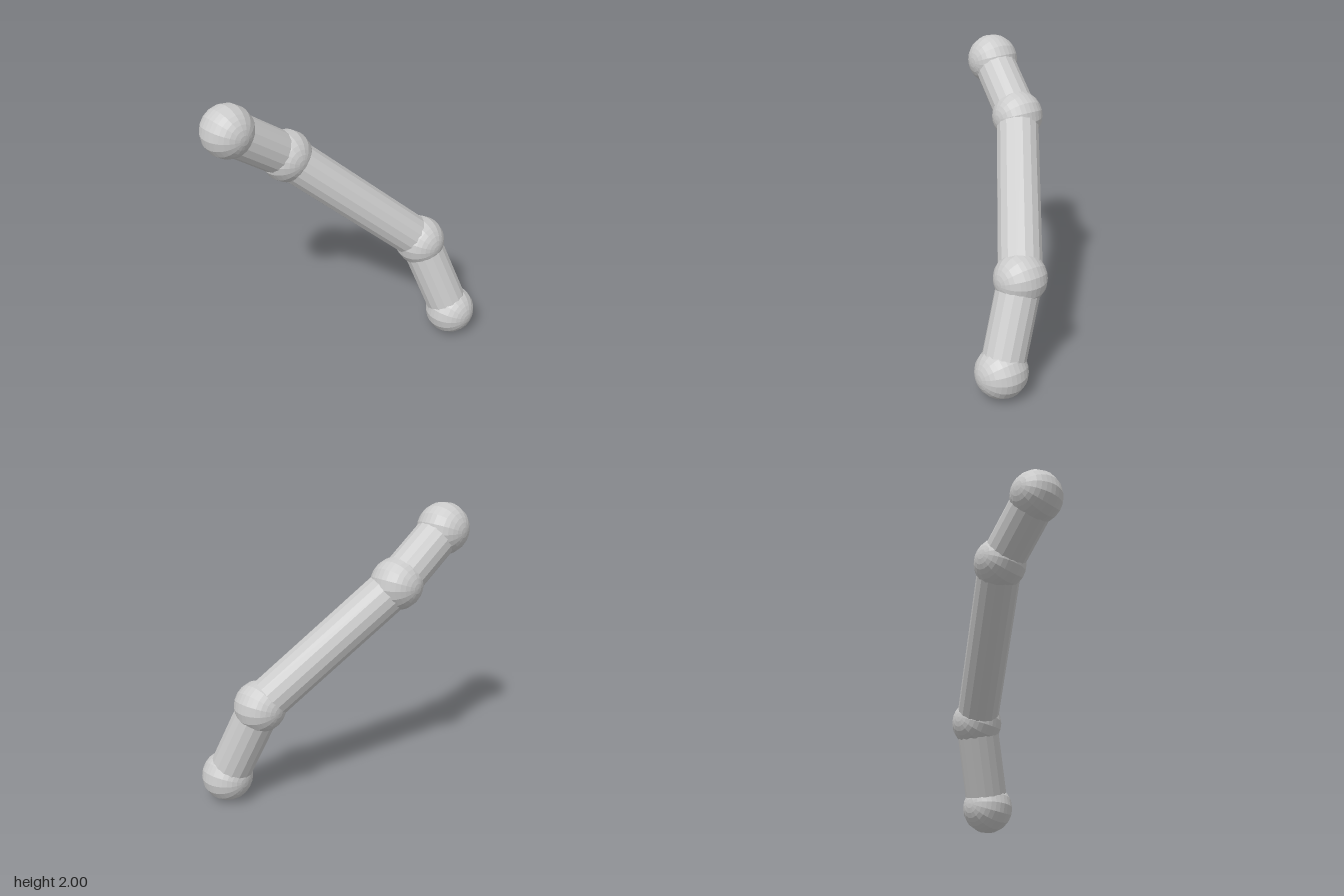
import * as THREE from 'three';

const JOINT_RADIUS = 0.177;
const TUBE_RADIUS = 0.147;
const SIDES = 16;

export function createModel() {
  const group = new THREE.Group();
  group.name = 'jointedPipe';
  const material = new THREE.MeshStandardMaterial({ color: 0xcccccc, flatShading: true });

  // Joint centres, from the upper end to the lower end
  const joints = [
    ['upperEnd', -0.648, 1.823, -0.41],
    ['upperElbow', -0.243, 1.52, -0.342],
    ['lowerElbow', 0.53, 0.738, 0.182],
    ['lowerEnd', 0.648, 0.177, 0.41],
  ].map(([name, x, y, z]) => ({ name, centre: new THREE.Vector3(x, y, z) }));

  // Ball joints, with their poles along z
  const ball = new THREE.SphereGeometry(JOINT_RADIUS, SIDES, SIDES).rotateX(Math.PI / 2);
  for (const { name, centre } of joints) {
    const mesh = new THREE.Mesh(ball, material);
    mesh.name = name + 'Ball';
    mesh.position.copy(centre);
    group.add(mesh);
  }

  // Straight tubes between neighbouring joints
  const up = new THREE.Vector3(0, 1, 0);
  ['upperTube', 'middleTube', 'lowerTube'].forEach((name, i) => {
    const a = joints[i].centre;
    const b = joints[i + 1].centre;
    const tube = new THREE.CylinderGeometry(TUBE_RADIUS, TUBE_RADIUS, a.distanceTo(b), SIDES);
    const mesh = new THREE.Mesh(tube, material);
    mesh.name = name;
    mesh.position.addVectors(a, b).multiplyScalar(0.5);
    mesh.quaternion.setFromUnitVectors(up, a.clone().sub(b).normalize());
    group.add(mesh);
  });

  return group;
}
